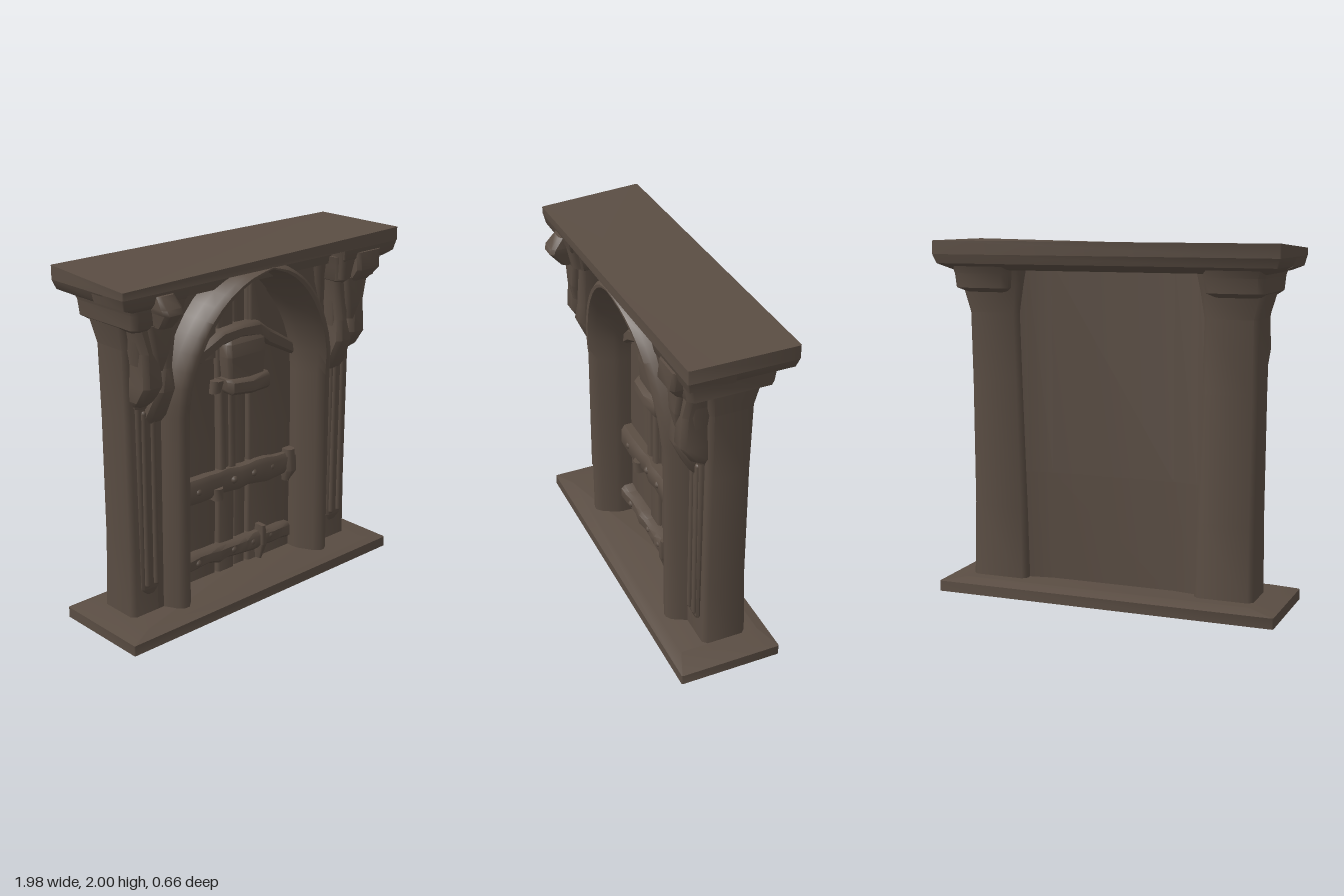
import * as THREE from 'three';
import { toCreasedNormals } from 'three/addons/utils/BufferGeometryUtils.js';

// Skin a list of equal-length closed rings of [x, y, z] points and cap both ends.
function skin(rings, crease = 0.8) {
  const n = rings[0].length, index = [], last = (rings.length - 1) * n;
  for (let j = 0; j < rings.length - 1; j++) {
    for (let i = 0; i < n; i++) {
      const a = j * n + i, b = j * n + (i + 1) % n;
      index.push(a, a + n, b + n, a, b + n, b);
    }
  }
  for (let i = 1; i < n - 1; i++) {
    index.push(0, i, i + 1, last, last + i + 1, last + i);
  }
  const g = new THREE.BufferGeometry();
  g.setAttribute('position', new THREE.Float32BufferAttribute(rings.flat(2), 3));
  g.setIndex(index);
  return toCreasedNormals(g, crease);
}

// Upright block from levels [y, x0, x1, z0, z1] with chamfered corners.
function block(levels, c = 0.02) {
  return skin(levels.map(([y, x0, x1, z0, z1]) => [
    [x1, y, z0 + c], [x1, y, z1 - c], [x1 - c, y, z1], [x0 + c, y, z1],
    [x0, y, z1 - c], [x0, y, z0 + c], [x0 + c, y, z0], [x1 - c, y, z0],
  ]));
}

// Sideways bar through stations [x, y, halfHeight, zFront].
function bar(stations, zBack = 0.01) {
  return skin(stations.map(([x, y, h, z]) => [
    [x, y - h, z - 0.02], [x, y - h * 0.6, z], [x, y + h * 0.6, z],
    [x, y + h, z - 0.02], [x, y + h, zBack], [x, y - h, zBack],
  ]));
}

export function createModel() {
  const model = new THREE.Group();
  const stone = new THREE.MeshStandardMaterial({ color: 0x5a4d43 });
  stone.name = 'dark brown stone';
  const add = (name, geometry, parent = model, x = 0, y = 0, z = 0) => {
    const mesh = new THREE.Mesh(geometry, stone);
    mesh.name = name;
    mesh.position.set(x, y, z);
    parent.add(mesh);
  };
  let seed = 7;
  const rand = () => (seed = (seed * 16807) % 2147483647) / 2147483647 - 0.5;

  // Base and top slabs; the top is thin over the arch and thick at the back
  add('baseSlab', block([
    [0, -0.985, 0.985, -0.33, 0.26], [0.06, -0.985, 0.985, -0.33, 0.26],
    [0.085, -0.84, 0.84, -0.27, 0.2],
  ], 0.006));
  const slab = block([[1.925, -0.99, 0.99, -0.33, 0.258], [2, -0.99, 0.99, -0.33, 0.258]], 0.006);
  const p = slab.attributes.position;
  for (let i = 0; i < p.count; i++) { // worn front corner
    if (p.getY(i) > 1.99 && p.getX(i) < 0 && p.getZ(i) > 0) p.setY(i, 1.965);
  }
  add('topSlab', toCreasedNormals(slab, 0.8));
  add('topSlabBack', block([
    [1.84, -0.9, 0.9, -0.26, 0.08], [1.875, -0.97, 0.97, -0.32, 0.1], [1.925, -0.99, 0.99, -0.33, 0.1],
  ], 0.006));

  // Arch outlines, from the right spring to the apex
  const v = (x, y) => new THREE.Vector2(x, y);
  const outer = new THREE.SplineCurve([v(0.6, 1.2), v(0.58, 1.4), v(0.49, 1.62), v(0.36, 1.79), v(0.19, 1.9), v(0, 1.945)]);
  const inner = new THREE.SplineCurve([v(0.43, 1.2), v(0.415, 1.37), v(0.35, 1.55), v(0.23, 1.72), v(0.11, 1.83), v(0, 1.895)]);
  const half = [[v(0.61, 0.06), v(0.435, 0.06), 0.16]];
  for (let i = 0; i <= 12; i++) {
    half.push([outer.getPoint(i / 12), inner.getPoint(i / 12), 0.17 + 0.093 * i / 12]);
  }
  const flip = (q) => v(-q.x, q.y);
  const path = half.concat(half.slice(0, -1).reverse().map(([o, i, z]) => [flip(o), flip(i), z]));

  // Jambs and pointed arch, one moulded band with a deep reveal
  const moulding = [[-0.1, -0.02], [-0.1, 0.3], [0.04, 0.58], [0.18, 0.87], [0.36, 1], [0.52, 1], [0.72, 0.8], [0.95, 0.3], [1, 0.1], [1, -0.5]];
  add('archMoulding', skin(path.map(([o, i, z]) => moulding.map(([t, d]) =>
    [o.x + (i.x - o.x) * t, o.y + (i.y - o.y) * t, d * (d < 0 ? 0.17 : z)]))));

  // Wall around the arch
  const wall = new THREE.Shape([v(-0.66, 0.05), v(0.66, 0.05), v(0.66, 1.9), v(-0.66, 1.9)]);
  wall.holes.push(new THREE.Path(path.map(([o, i]) => o.clone().lerp(i, 0.5).multiply(v(1, 0.98)))));
  add('archWall', new THREE.ExtrudeGeometry(wall, { depth: 0.14, bevelEnabled: false }), model, 0, 0, -0.08);
  add('lintel', block([[1.835, -0.62, 0.62, 0, 0.13], [1.93, -0.62, 0.62, 0, 0.16]]));

  // Hollow back panel that curves out to meet the pillars
  add('backPanel', skin([0.05, 0.7, 1.88].map((y) => [
    [0.62, y, -0.08], [-0.62, y, -0.08], [-0.58, y, -0.165], [-0.5, y, -0.14],
    [-0.36, y, -0.118], [0.36, y, -0.118], [0.5, y, -0.14], [0.58, y, -0.165],
  ])));

  // Door, set back in the arch
  const door = new THREE.Group();
  door.name = 'door';
  door.position.z = -0.08;
  model.add(door);
  const edges = [-0.46, -0.13, 0, 0.1, 0.46];
  for (let i = 0; i < edges.length - 1; i++) {
    const z = 0.025 + (i % 2) * 0.015;
    add('doorPlank', block([
      [0.06, edges[i] + 0.003, edges[i + 1] - 0.003, -0.02, z],
      [0.9, edges[i] + 0.005, edges[i + 1] - 0.002, -0.02, z + 0.01],
      [1.88, edges[i] + 0.003, edges[i + 1] - 0.004, -0.02, z],
    ], 0.012), door);
  }
  for (const [a, b] of [[-0.26, -0.14], [0.11, 0.24]]) {
    add('upperPlank', block([[1.4, a, b, 0, 0.055], [1.84, a, b, 0, 0.055]], 0.012), door);
  }

  // Worn door straps
  const strap = (name, x0, x1, y, h, z) => {
    const stations = [];
    for (let i = 0; i <= 12; i++) {
      stations.push([x0 + (x1 - x0) * i / 12, y - 0.025 * i / 12 + rand() * 0.012, h + rand() * 0.016, z + rand() * 0.018]);
    }
    add(name, bar(stations), door);
  };
  strap('middleStrap', -0.44, 0.43, 0.67, 0.068, 0.1);
  strap('lowerStrap', -0.44, 0.4, 0.235, 0.048, 0.095);
  const stud = new THREE.SphereGeometry(0.024, 10, 6);
  for (const x of [-0.32, -0.05, 0.1, 0.24]) {
    add('strapStud', stud, door, x, 0.665, 0.09);
    add('strapStud', stud, door, x, 0.225, 0.08);
  }
  add('strapBuckle', block([[0.58, -0.21, -0.145, 0.03, 0.125], [0.65, -0.21, -0.145, 0.03, 0.125]]), door);
  add('strapEnd', block([[0.53, 0.37, 0.4, 0.03, 0.09], [0.6, 0.36, 0.44, 0.03, 0.12], [0.73, 0.37, 0.43, 0.03, 0.11]]), door);
  add('strapPin', block([[0.09, 0.165, 0.185, 0.03, 0.08], [0.19, 0.155, 0.195, 0.03, 0.115], [0.31, 0.16, 0.19, 0.03, 0.11]], 0.008), door);

  // Bent rail across the head of the door
  add('upperRail', bar([
    [-0.44, 1.33, 0.035, 0.08], [-0.34, 1.41, 0.045, 0.09], [-0.23, 1.455, 0.04, 0.09],
    [-0.13, 1.515, 0.04, 0.11], [0, 1.53, 0.035, 0.115], [0.14, 1.515, 0.045, 0.11],
    [0.22, 1.455, 0.05, 0.09], [0.32, 1.4, 0.045, 0.09], [0.43, 1.34, 0.04, 0.08],
  ]), door);

  // Plaque with rolled lower edge, and the posts it hangs on
  add('plaque', block([
    [1.24, -0.1, 0.165, 0.02, 0.12], [1.4, -0.115, 0.17, 0.02, 0.13],
    [1.47, -0.11, 0.17, 0.02, 0.12], [1.5, -0.09, 0.14, 0.02, 0.1],
  ]), door);
  add('plaqueRoll', bar([[-0.125, 1.25, 0.03, 0.12], [-0.1, 1.235, 0.045, 0.15], [0.04, 1.22, 0.047, 0.155], [0.17, 1.225, 0.05, 0.15], [0.185, 1.225, 0.04, 0.13]]), door);
  add('plaqueBracket', block([[1.2, -0.19, -0.12, 0.02, 0.08], [1.27, -0.18, -0.1, 0.02, 0.09]]), door);
  for (const x of [-0.1, -0.03]) {
    add('doorPost', block([[0.7, x - 0.025, x + 0.025, 0, 0.065], [1.26, x - 0.025, x + 0.025, 0, 0.065]], 0.012), door);
  }

  // Mirrored side parts
  for (const s of [-1, 1]) {
    const side = (name, levels, c) => add(name, block(levels.map(([y, a, b, z0, z1]) =>
      s > 0 ? [y, a, b, z0, z1] : [y, -b, -a, z0, z1]), c));

    side('sidePillar', [
      [0.05, 0.5, 0.835, -0.2, 0.06], [0.5, 0.51, 0.83, -0.185, 0.06],
      [1.2, 0.53, 0.835, -0.18, 0.06], [1.6, 0.54, 0.84, -0.185, 0.065],
      [1.75, 0.52, 0.88, -0.2, 0.09], [1.87, 0.5, 0.89, -0.22, 0.12],
    ], 0.025);

    // Framed strip on the pillar face
    side('pillarStrip', [[0.2, 0.68, 0.74, 0.02, 0.065], [0.24, 0.66, 0.775, 0.02, 0.078], [1.32, 0.655, 0.785, 0.02, 0.083]], 0.012);
    for (const x of [0.685, 0.745]) {
      add('stripRib', new THREE.CapsuleGeometry(0.017, 0.98, 4, 8), model, s * x, 0.76, 0.079);
    }

    // Carved corbel in overlapping lobes
    side('corbelCore', [[1.28, 0.62, 0.79, 0.03, 0.09], [1.42, 0.61, 0.8, 0.03, 0.15], [1.78, 0.58, 0.84, 0.03, 0.17]], 0.025);
    side('corbelOuterLobe', [
      [1.29, 0.71, 0.79, 0.03, 0.09], [1.33, 0.69, 0.815, 0.03, 0.14],
      [1.42, 0.69, 0.815, 0.03, 0.2], [1.6, 0.7, 0.81, 0.03, 0.19], [1.78, 0.66, 0.86, 0.03, 0.18],
    ], 0.025);
    side('corbelInnerLobe', [
      [1.19, 0.61, 0.73, 0.03, 0.09], [1.23, 0.6, 0.74, 0.03, 0.12],
      [1.38, 0.6, 0.72, 0.03, 0.19], [1.5, 0.61, 0.69, 0.03, 0.18], [1.78, 0.57, 0.7, 0.03, 0.18],
    ], 0.025);
    side('corbelLeaf', [
      [1.5, 0.68, 0.73, 0.1, 0.19], [1.6, 0.65, 0.76, 0.1, 0.21], [1.75, 0.63, 0.79, 0.1, 0.21],
    ]);

    // Capital, the thick slab end above it and the knob on its front
    side('capital', [
      [1.715, 0.6, 0.85, -0.21, 0.17], [1.74, 0.57, 0.885, -0.27, 0.2],
      [1.82, 0.56, 0.89, -0.28, 0.215], [1.88, 0.55, 0.91, -0.3, 0.22],
    ], 0.03);
    side('slabEnd', [
      [1.845, 0.58, 0.91, 0, 0.225], [1.87, 0.57, 0.975, 0, 0.245], [1.93, 0.56, 0.99, 0, 0.257],
    ], 0.006);
    if (s < 0) {
      side('capitalKnob', [
        [1.74, 0.67, 0.76, 0.15, 0.26], [1.82, 0.66, 0.78, 0.15, 0.33],
        [1.85, 0.66, 0.79, 0.15, 0.32], [1.91, 0.67, 0.78, 0.15, 0.27],
      ]);
    } else {
      side('capitalKnob', [
        [1.73, 0.67, 0.8, 0.15, 0.22], [1.8, 0.66, 0.84, 0.15, 0.275], [1.9, 0.66, 0.85, 0.15, 0.265],
      ]);
    }
    side('innerBracket', [[1.75, 0.58, 0.66, 0.1, 0.22], [1.91, 0.56, 0.68, 0.1, 0.25]]);
  }
  return model;
}
